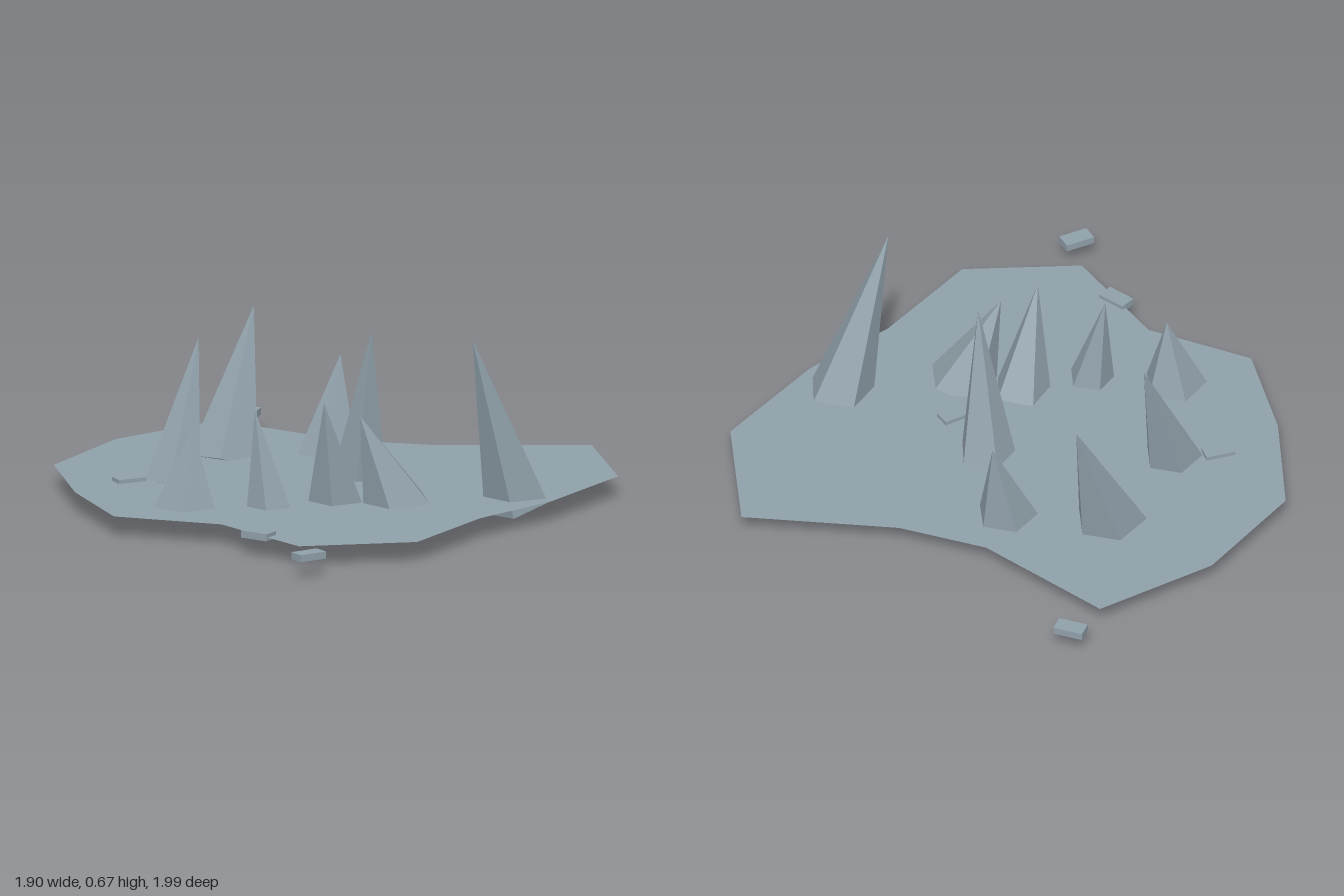
import * as THREE from 'three';

export function createModel() {
  const model = new THREE.Group();
  model.name = 'rockSpikeField';
  const stone = new THREE.MeshStandardMaterial({ color: 0x90a0aa, flatShading: true });
  stone.name = 'blue grey stone';
  const sheet = stone.clone();
  sheet.name = 'blue grey ground';
  sheet.side = THREE.DoubleSide;
  const groundY = 0.076;

  // Thin irregular ground sheet, outline given as x, z
  const outline = [
    [0.35, -1], [0.755, -0.715], [0.855, -0.265], [0.855, 0.095], [0.95, 0.515],
    [0.695, 0.855], [0.26, 0.8], [-0.1, 0.975], [-0.46, 0.8], [-0.81, 0.545],
    [-0.93, 0.105], [-0.87, -0.36], [-0.34, -0.445], [-0.055, -0.61],
  ];
  const shape = new THREE.Shape(outline.map(([x, z]) => new THREE.Vector2(x, -z)));
  const ground = new THREE.Mesh(new THREE.ShapeGeometry(shape).rotateX(-Math.PI / 2), sheet);
  ground.position.y = groundY;
  ground.name = 'ground';
  model.add(ground);

  // Leaning five-sided spikes: base centre, tip, base radius
  const spikes = [
    [[-0.495, 0.045, 0], [-0.533, 0.577, -0.19], 0.132],
    [[-0.355, 0.05, 0.405], [-0.394, 0.556, 0.237], 0.107],
    [[-0.238, 0.045, -0.265], [-0.261, 0.418, -0.35], 0.118],
    [[0.083, 0.05, -0.092], [0.189, 0.629, -0.043], 0.107],
    [[0.695, 0.045, -0.262], [0.678, 0.673, -0.05], 0.123],
    [[0.465, 0.05, 0.11], [0.403, 0.4, 0.24], 0.131],
    [[0.285, 0.05, 0.235], [0.337, 0.455, 0.355], 0.11],
    [[0.182, 0.045, 0.468], [0.137, 0.42, 0.5], 0.089],
    [[-0.035, 0.045, 0.675], [-0.023, 0.352, 0.65], 0.127],
  ];
  const up = new THREE.Vector3(0, 1, 0);
  for (const [base, tip, radius] of spikes) {
    const foot = new THREE.Vector3(...base);
    const axis = new THREE.Vector3(...tip).sub(foot);
    const height = axis.length();
    const cone = new THREE.ConeGeometry(radius, height, 5)
      .translate(0, height / 2, 0)
      .rotateY(Math.PI);
    const spike = new THREE.Mesh(cone, stone);
    spike.quaternion.setFromUnitVectors(up, axis.normalize());
    spike.position.copy(foot);
    spike.name = 'spike';
    model.add(spike);
  }

  // Small flat stone chips: x, z, turn
  const chipShape = new THREE.BoxGeometry(0.108, 0.026, 0.06);
  const chips = [
    [-0.893, -0.515, 0.52], [0.315, -0.047, -1.72], [-0.445, 0.538, -1.94],
    [0.465, 0.823, 0.18], [0.82, 0.935, -1.79],
  ];
  for (const [x, z, turn] of chips) {
    const chip = new THREE.Mesh(chipShape, stone);
    chip.position.set(x, groundY + 0.001, z);
    chip.rotation.y = turn;
    chip.name = 'stoneChip';
    model.add(chip);
  }
  return model;
}
